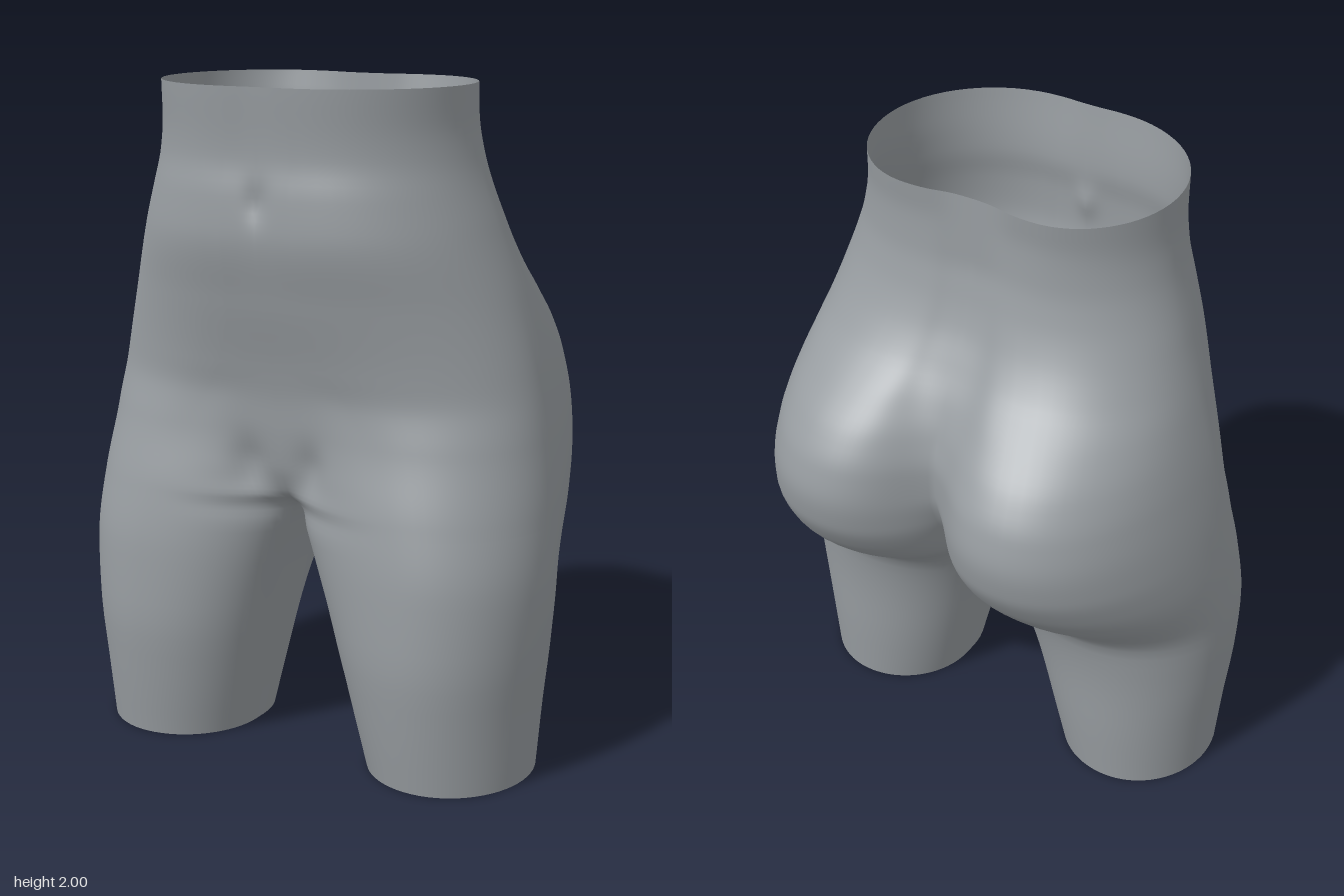
import * as THREE from 'three';
import { mergeVertices } from 'three/addons/utils/BufferGeometryUtils.js';

const CROTCH = 0.77;
const K = 0.5523; // Bezier handle ratio of a quarter ellipse

// Smooth curve without overshoot through [height, value] pairs
function profile(keys) {
  const n = keys.length;
  const slope = i => (keys[i + 1][1] - keys[i][1]) / (keys[i + 1][0] - keys[i][0]);
  const tangent = i => {
    if (i === 0) return slope(0);
    if (i === n - 1) return slope(n - 2);
    const a = slope(i - 1), b = slope(i);
    return a * b <= 0 ? 0 : 2 * a * b / (a + b);
  };
  return y => {
    let i = 0;
    while (i < n - 2 && y > keys[i + 1][0]) i++;
    const h = keys[i + 1][0] - keys[i][0];
    const t = (y - keys[i][0]) / h, s = 1 - t;
    return s * s * (1 + 2 * t) * keys[i][1] + t * t * (3 - 2 * t) * keys[i + 1][1]
      + h * t * s * (s * tangent(i) - t * tangent(i + 1));
  };
}

// Side of hip and thigh: width and depth position
const sideX = profile([[0, .705], [.2, .72], [.4, .74], [.6, .75], [.8, .74], [1, .715], [1.2, .675],
  [1.4, .62], [1.6, .555], [1.8, .492], [1.9, .475], [2, .47]]);
const sideZ = profile([[0, .17], [.6, .15], [1, .09], [1.4, .1], [2, .16]]);
// Foremost line of thigh and belly
const frontX = profile([[0, .46], [.6, .44], [.8, .4], [1, .34], [1.2, .2], [1.4, .13], [2, .1]]);
const frontZ = profile([[0, .44], [.2, .47], [.4, .49], [.6, .485], [.8, .46], [1, .42], [1.1, .412],
  [1.2, .43], [1.4, .48], [1.6, .52], [1.7, .516], [1.8, .503], [2, .52]]);
// Rearmost line of thigh, buttock and back
const backX = profile([[0, .46], [.5, .42], [.7, .36], [.9, .31], [1.1, .3], [1.3, .28], [1.5, .22],
  [1.7, .18], [2, .2]]);
const backZ = profile([[0, -.1], [.2, -.12], [.4, -.135], [.6, -.17], [.65, -.2], [.7, -.25], [.8, -.37],
  [.9, -.455], [1, -.505], [1.1, -.52], [1.2, -.503], [1.3, -.45], [1.4, -.36], [1.5, -.26], [1.6, -.2],
  [1.7, -.165], [1.8, -.146], [1.9, -.142], [2, -.152]]);
// Front and back midline, continuing down as the inner thigh
const midFrontZ = profile([[0, .19], [.4, .23], [.6, .26], [.77, .28], [.8, .335], [.85, .365], [.9, .383],
  [1, .398], [1.1, .408], [1.2, .428], [1.4, .48], [1.6, .518], [1.7, .513], [1.8, .502], [2, .517]]);
const midBackZ = profile([[0, .15], [.4, .1], [.6, .04], [.77, -.03], [.82, -.12], [.9, -.22], [1, -.3],
  [1.1, -.335], [1.2, -.34], [1.3, -.318], [1.4, -.28], [1.5, -.225], [1.6, -.175], [1.7, -.146],
  [1.8, -.13], [2, -.13]]);
// Crease at the midline: 0 runs smoothly across, 1 is a full fold
const frontFold = profile([[0, 1], [.7, 1], [.77, .8], [.85, .4], [.95, .1], [1.02, 0], [2, 0]]);
const backFold = profile([[0, 1], [.77, 1], [.9, .8], [1.1, .5], [1.3, .35], [1.5, 0], [2, 0]]);

const gap = y => {
  const t = Math.max(0, CROTCH - y);
  return .1 * Math.sqrt(t) + .165 * t;
};
const bump = (x, y, cx, cy, rx, ry) => Math.exp(-(((x - cx) / rx) ** 2) - ((y - cy) / ry) ** 2);

// Closed cross-section of the +x half; the last WALL steps are the inner thigh
const ARC = 16, WALL = 8, LOOP = ARC * 4 + WALL;
function section(y) {
  const V = (x, z) => new THREE.Vector2(x, z);
  const g = gap(y);
  const F = V(g, midFrontZ(y)), P = V(frontX(y), frontZ(y)), O = V(sideX(y), sideZ(y));
  const R = V(backX(y), backZ(y)), B = V(g, midBackZ(y));
  const wf = frontFold(y), wb = backFold(y);
  const curve = (a, b, c, d) => new THREE.CubicBezierCurve(a, b, c, d);
  const arcs = [
    curve(F, V(F.x + K * (P.x - F.x) * (1 - wf), F.y + K * (P.y - F.y) * wf), V(P.x - K * (P.x - F.x), P.y), P),
    curve(P, V(P.x + K * (O.x - P.x), P.y), V(O.x, O.y + K * (P.y - O.y)), O),
    curve(O, V(O.x, O.y + K * (R.y - O.y)), V(R.x + K * (O.x - R.x), R.y), R),
    curve(R, V(R.x - K * (R.x - B.x), R.y), V(B.x + K * (R.x - B.x) * (1 - wb), B.y + K * (R.y - B.y) * wb), B),
  ];
  const points = [];
  arcs.forEach((arc, k) => {
    for (let i = 0; i < ARC; i++) {
      const p = arc.getPoint(i / ARC);
      // Navel and groin hollows
      if (k < 2 && p.y > .2) {
        p.y -= .014 * bump(p.x, y, 0, 1.68, .035, .05) + .02 * bump(p.x, y, .1, .9, .05, .07);
      }
      points.push(p);
    }
  });
  for (let i = 0; i < WALL; i++) points.push(B.clone().lerp(F, i / WALL));
  return points;
}

function bodyGeometry() {
  const rows = [];
  for (let i = 0; i <= 18; i++) rows.push(CROTCH * (1 - (1 - i / 18) ** 1.7));
  for (let i = 1; i <= 64; i++) rows.push(CROTCH + (2 - CROTCH) * (i / 64) ** 1.15);
  const position = [], index = [];
  for (const side of [1, -1]) {
    const base = position.length / 3;
    for (const y of rows) for (const p of section(y)) position.push(side * p.x, y, p.y);
    for (let j = 0; j < rows.length - 1; j++) {
      // Above the crotch both halves join, so the inner wall is left out
      const steps = j < 18 ? LOOP : ARC * 4;
      for (let i = 0; i < steps; i++) {
        const n = (i + 1) % LOOP;
        const a = base + j * LOOP + i, b = base + j * LOOP + n;
        const c = b + LOOP, d = a + LOOP;
        if (side > 0) index.push(a, b, c, a, c, d);
        else index.push(a, c, b, a, d, c);
      }
    }
  }
  const geometry = new THREE.BufferGeometry();
  geometry.setAttribute('position', new THREE.Float32BufferAttribute(position, 3));
  geometry.setIndex(index);
  const merged = mergeVertices(geometry, 1e-5);
  merged.computeVertexNormals();
  return merged;
}

export function createModel() {
  const group = new THREE.Group();
  group.name = 'lowerTorsoForm';
  const grey = new THREE.MeshStandardMaterial({ color: 0x989da1, side: THREE.DoubleSide });
  grey.name = 'grey';
  // Open hollow shell: waist, hips and both thighs
  const body = new THREE.Mesh(bodyGeometry(), grey);
  body.name = 'hipsAndThighs';
  group.add(body);
  return group;
}
